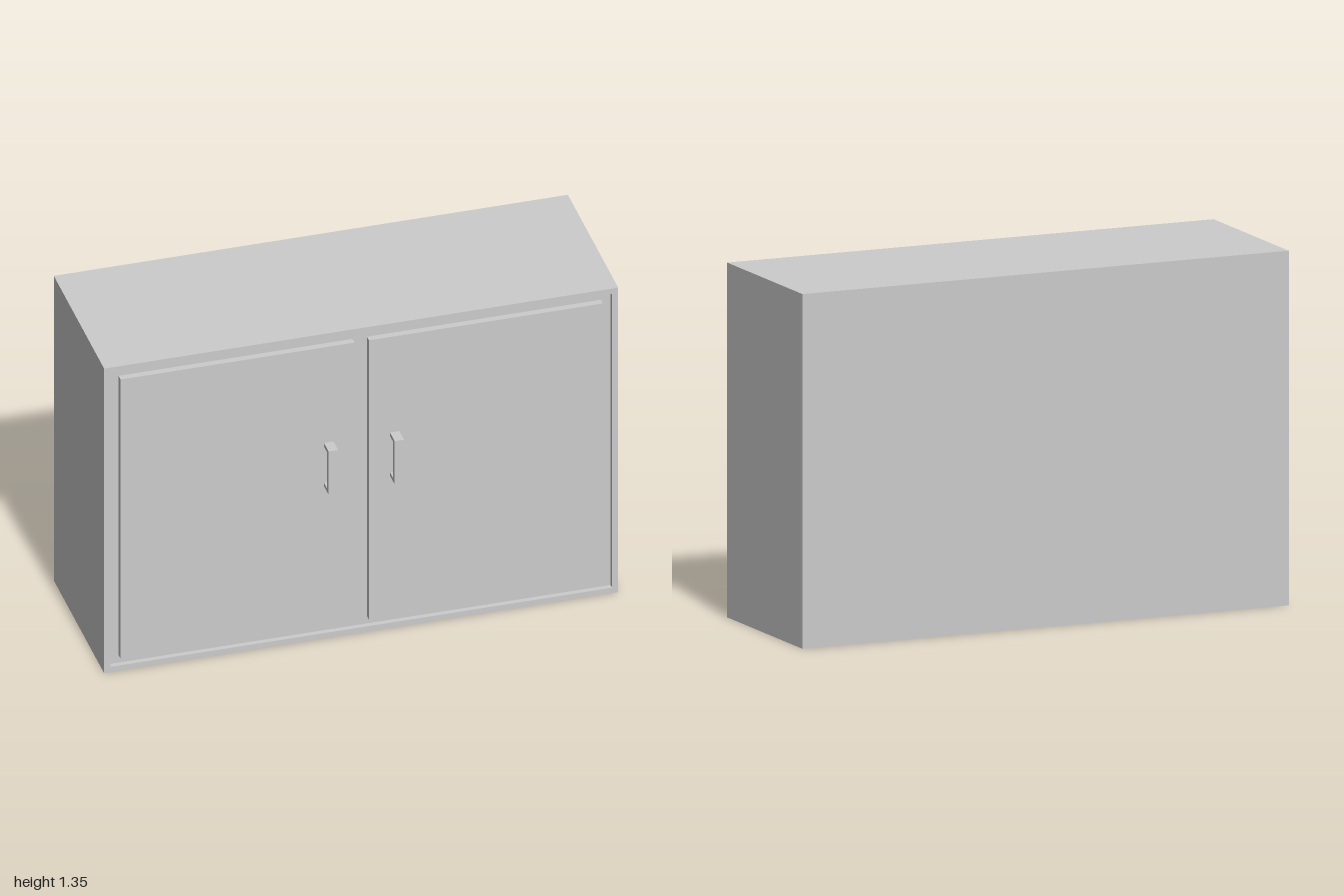
import * as THREE from 'three';

const W = 2, H = 1.35, BACK = -0.37, FRONT = 0.3;
const RECESS = 0.02, RIM = 0.024;
const material = new THREE.MeshStandardMaterial({ color: 0xcccccc, flatShading: true });

// Box given by its min and max corners
function box(name, [x0, y0, z0], [x1, y1, z1]) {
  const geometry = new THREE.BoxGeometry(x1 - x0, y1 - y0, z1 - z0);
  geometry.translate((x0 + x1) / 2, (y0 + y1) / 2, (z0 + z1) / 2);
  const mesh = new THREE.Mesh(geometry, material);
  mesh.name = name;
  return mesh;
}

function rectangle(PathType, x0, y0, x1, y1) {
  return new PathType([[x0, y0], [x1, y0], [x1, y1], [x0, y1]].map(p => new THREE.Vector2(...p)));
}

// Thin rim that surrounds the recessed front
function createRim() {
  const shape = rectangle(THREE.Shape, -W / 2, 0, W / 2, H);
  shape.holes.push(rectangle(THREE.Path, -W / 2 + RIM, RIM, W / 2 - RIM, H - RIM));
  const geometry = new THREE.ExtrudeGeometry(shape, { depth: RECESS, bevelEnabled: false });
  geometry.translate(0, 0, FRONT - RECESS);
  const mesh = new THREE.Mesh(geometry, material);
  mesh.name = 'frontRim';
  return mesh;
}

// Squared pull: two arms and an upright grip, extruded from its side profile
function createHandle(x0, x1) {
  const z0 = 0.305, z1 = 0.37, grip = 0.35, y0 = 0.68, y1 = 0.872, arm = 0.016;
  const profile = new THREE.Shape([
    [z0, y0], [z1, y0], [z1, y1], [z0, y1],
    [z0, y1 - arm], [grip, y1 - arm], [grip, y0 + arm], [z0, y0 + arm],
  ].map(p => new THREE.Vector2(...p)));
  const geometry = new THREE.ExtrudeGeometry(profile, { depth: x1 - x0, bevelEnabled: false });
  geometry.rotateY(-Math.PI / 2); // profile x becomes z, depth runs toward -x
  geometry.translate(x1, 0, 0);
  const mesh = new THREE.Mesh(geometry, material);
  mesh.name = 'handle';
  return mesh;
}

export function createModel() {
  const model = new THREE.Group();
  model.name = 'cabinet';
  model.add(box('body', [-W / 2, 0, BACK], [W / 2, H, FRONT - RECESS]), createRim());

  // Pair of doors, each with its handle near the middle
  for (const [side, s] of [['left', 1], ['right', -1]]) {
    const span = (a, b) => (s > 0 ? [a, b] : [-b, -a]);
    const [d0, d1] = span(0.028, 0.938);
    const door = new THREE.Group();
    door.name = side + 'Door';
    door.add(
      box('panel', [d0, 0.057, FRONT - RECESS], [d1, 1.295, 0.307]),
      createHandle(...span(0.11, 0.147)),
    );
    model.add(door);
  }
  return model;
}
